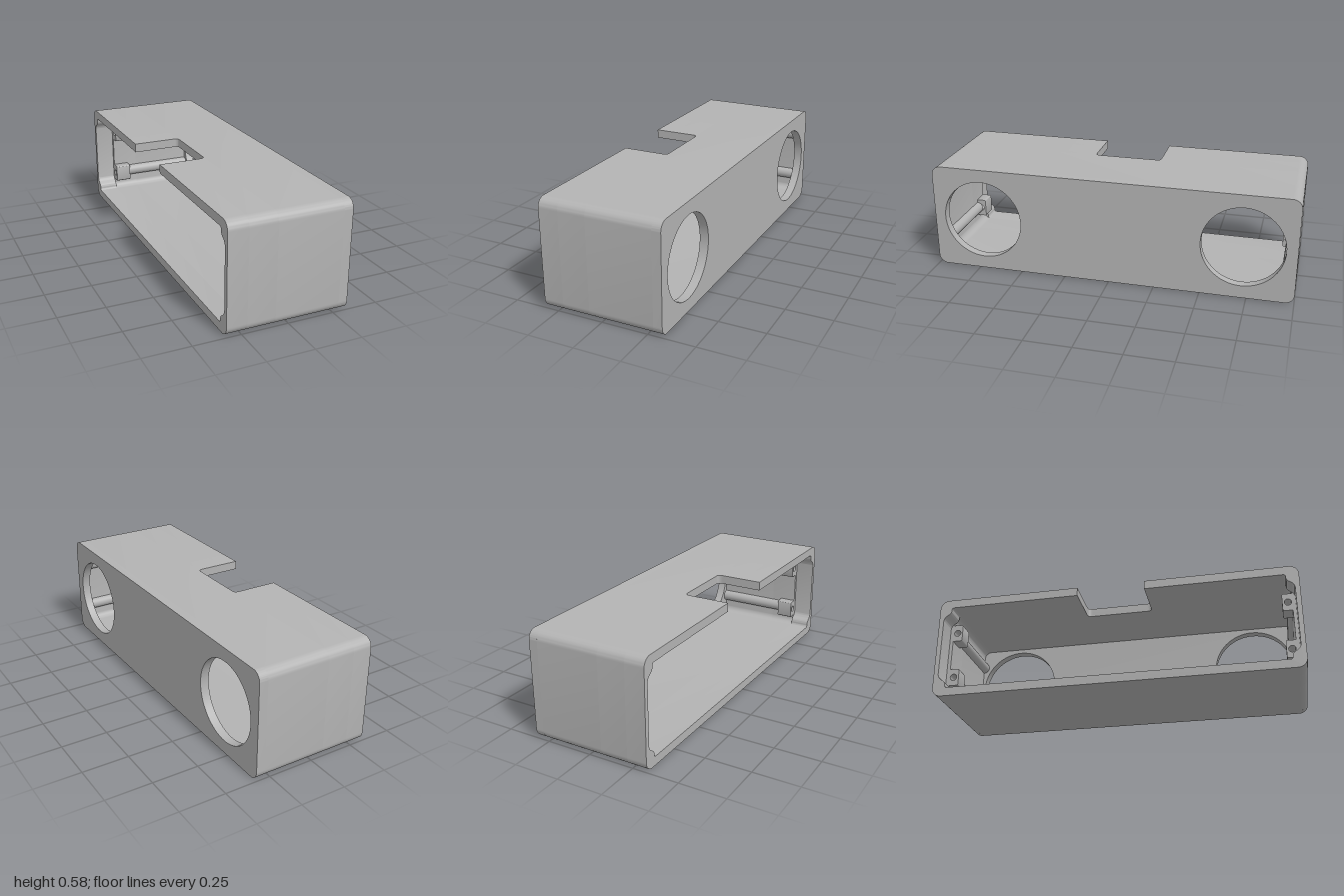
import * as THREE from 'three';
import { toCreasedNormals } from 'three/addons/utils/BufferGeometryUtils.js';

const H = 0.585, X0 = -0.328, X1 = 0.328;      // height and the two sides
const STEP = -0.22, NOTCH = -0.07, BACK = 0.28; // rim ledge, notch end, inner face of wall
const FLOOR = 0.048, CEIL = H - 0.048;
const NA = -0.175, NB = 0.2;                    // notch edges, as -z

// Trace a closed polygon of [u, y, cornerRadius] with rounded corners
function trace(path, pts) {
  const n = pts.length, k = 0.5523;
  pts.forEach(([x, y, r = 0], i) => {
    const p = new THREE.Vector2(x, y);
    const toward = (q) => new THREE.Vector2(q[0], q[1]).sub(p).normalize();
    const a = toward(pts[(i + n - 1) % n]), b = toward(pts[(i + 1) % n]);
    const s = p.clone().addScaledVector(a, r), e = p.clone().addScaledVector(b, r);
    if (i === 0) path.moveTo(s.x, s.y); else path.lineTo(s.x, s.y);
    if (r > 0) {
      const c = p.clone().addScaledVector(a, r * (1 - k)), d = p.clone().addScaledVector(b, r * (1 - k));
      path.bezierCurveTo(c.x, c.y, d.x, d.y, e.x, e.y);
    }
  });
  path.closePath();
  return path;
}

const mirror = (pts) => pts.map(([u, y, r]) => [-u, y, r]).reverse();
const outerRight = [[1, 0, 0.05], [1, H, 0.05]];
const deepRight = [[0.955, FLOOR, 0.04], [0.955, CEIL, 0.04]];
const rimRight = [
  [0.93, FLOOR, 0.012], [0.93, 0.08, 0.015], [0.974, 0.11, 0.02],
  [0.974, H - 0.11, 0.02], [0.93, H - 0.08, 0.015], [0.93, CEIL, 0.012],
];

export function createModel() {
  const group = new THREE.Group();
  const grey = new THREE.MeshStandardMaterial({ color: 0xb3b3b3 });
  grey.name = 'grey';

  // Extrude a (-z, y) section along x
  function section(name, shape, from, to) {
    let geo = new THREE.ExtrudeGeometry(shape, { depth: to - from, bevelEnabled: false, curveSegments: 10 });
    geo = toCreasedNormals(geo, 0.6);
    geo.rotateY(Math.PI / 2);
    geo.translate(from, 0, 0);
    const mesh = new THREE.Mesh(geo, grey);
    mesh.name = name;
    group.add(mesh);
  }
  const outer = () => trace(new THREE.Shape(), [...outerRight, ...mirror(outerRight)]);

  // Wall with two round openings
  const plate = outer();
  for (const s of [-1, 1]) {
    const hole = new THREE.Path();
    hole.absarc(s * 0.718, H / 2, 0.222, 0, Math.PI * 2, true);
    plate.holes.push(hole);
  }
  let geo = new THREE.ExtrudeGeometry(plate, { depth: X1 - BACK, bevelEnabled: false, curveSegments: 32 });
  geo = toCreasedNormals(geo, 0.6);
  geo.rotateY(Math.PI / 2);
  geo.translate(BACK, 0, 0);
  const face = new THREE.Mesh(geo, grey);
  face.name = 'portWall';
  group.add(face);

  // Closed part of the shell
  const ring = outer();
  ring.holes.push(trace(new THREE.Path(), [...deepRight, ...mirror(deepRight)]));
  section('shell', ring, NOTCH, BACK);

  // Shell interrupted by the notch in the top
  const cut = (right) => trace(new THREE.Shape(), [
    [NB, CEIL], [NB, H], ...[...outerRight].reverse(), ...mirror(outerRight).reverse(),
    [NA, H], [NA, CEIL], ...mirror(right), ...right,
  ]);
  section('notchedShell', cut(deepRight), STEP, NOTCH);
  section('openRim', cut(rimRight), X0, STEP);

  // Small fillets in the notch corners
  for (const [z, s] of [[-NB, 1], [-NA, -1]]) {
    const r = 0.025, f = new THREE.Shape();
    f.moveTo(0, 0);
    f.lineTo(-r, 0);
    f.quadraticCurveTo(0, 0, 0, s * r);
    f.closePath();
    const g = new THREE.ExtrudeGeometry(f, { depth: H - CEIL, bevelEnabled: false, curveSegments: 8 });
    g.rotateX(Math.PI / 2);
    g.translate(NOTCH, H, z);
    const m = new THREE.Mesh(g, grey);
    m.name = 'notchFillet';
    group.add(m);
  }

  // Screw bosses, each with a rounded rib running to the wall
  for (const s of [-1, 1]) for (const y of [0.155, H - 0.155]) {
    const u = s * 0.932;
    const boss = trace(new THREE.Shape(), [
      [u - 0.03, y - 0.05, 0.008], [u + 0.03, y - 0.05, 0.008],
      [u + 0.03, y + 0.05, 0.008], [u - 0.03, y + 0.05, 0.008],
    ]);
    const bore = new THREE.Path();
    bore.absarc(u, y, 0.019, 0, Math.PI * 2, true);
    boss.holes.push(bore);
    section('screwBoss', boss, STEP, STEP + 0.09);

    const len = BACK - STEP - 0.09;
    const rib = new THREE.Mesh(new THREE.CylinderGeometry(0.033, 0.033, len, 24), grey);
    rib.name = 'wallRib';
    rib.rotation.z = Math.PI / 2;
    rib.position.set(BACK - len / 2, y, s * 0.955);
    group.add(rib);
  }
  return group;
}
